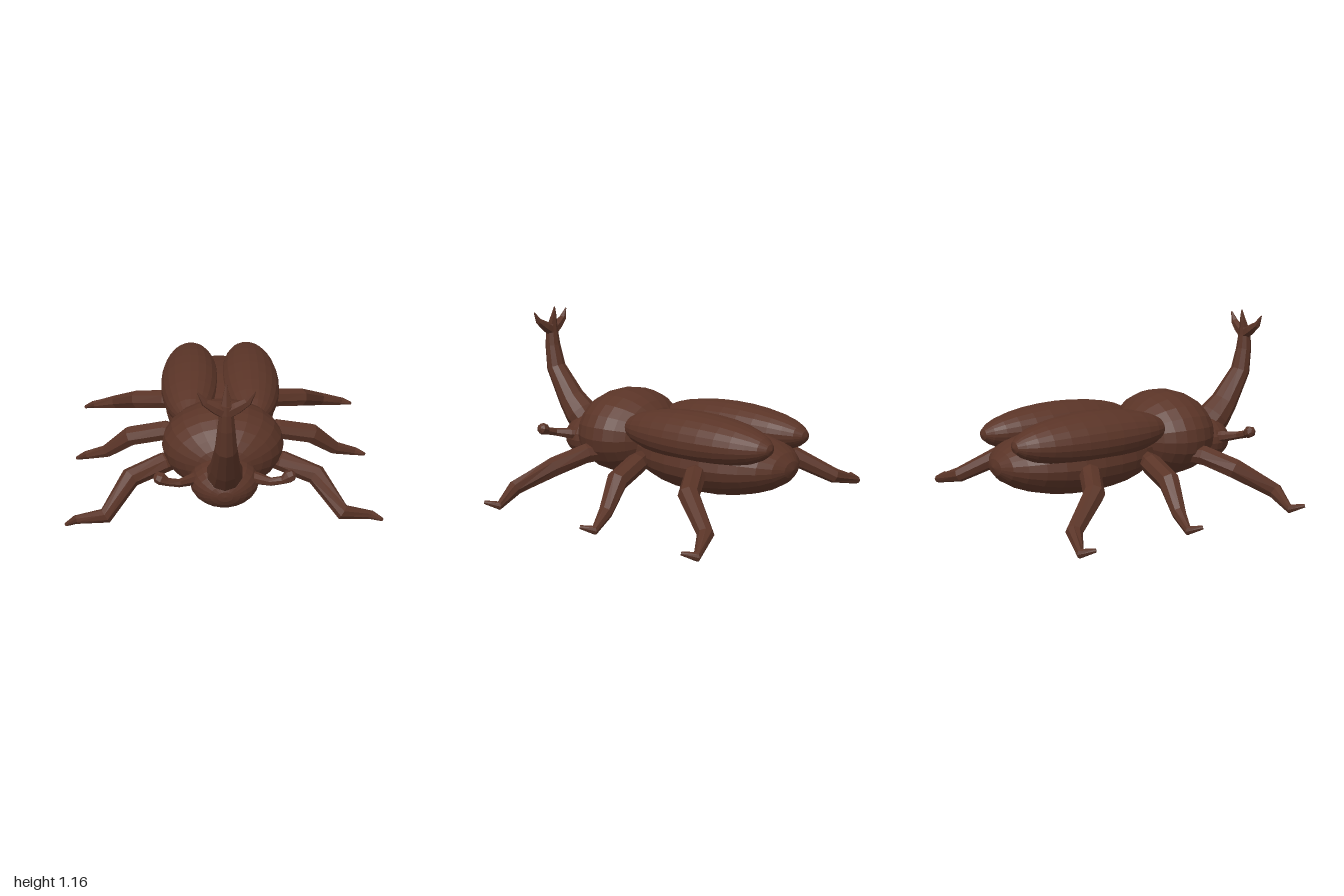
import * as THREE from 'three';

const shell = new THREE.MeshStandardMaterial({ color: 0x5a3427, flatShading: true });

function add(parent, name, geometry) {
  const mesh = new THREE.Mesh(geometry, shell);
  mesh.name = name;
  parent.add(mesh);
  return mesh;
}

// Faceted ellipsoid with its poles along z
function blob(parent, name, center, radii) {
  const geometry = new THREE.SphereGeometry(1, 22, 14).rotateX(Math.PI / 2).scale(...radii);
  const mesh = add(parent, name, geometry);
  mesh.position.set(...center);
  return mesh;
}

// Tapered, closed limb through sections [x, y, z, radius]; ref must not run along the limb
function limb(sections, ref = [0, 1, 0], sides = 8) {
  const pts = sections.map((s) => new THREE.Vector3(s[0], s[1], s[2]));
  const up = new THREE.Vector3(...ref);
  const pos = [];
  const index = [];
  pts.forEach((p, i) => {
    const before = pts[Math.max(i - 1, 0)];
    const after = pts[Math.min(i + 1, pts.length - 1)];
    const dirIn = p.clone().sub(before).normalize();
    const dirOut = after.clone().sub(p).normalize();
    const t = dirIn.add(dirOut).normalize();
    const u = new THREE.Vector3().crossVectors(up, t).normalize();
    const v = new THREE.Vector3().crossVectors(t, u);
    for (let k = 0; k < sides; k++) {
      const a = (k / sides) * Math.PI * 2;
      const q = p.clone().addScaledVector(u, Math.cos(a) * sections[i][3]);
      q.addScaledVector(v, Math.sin(a) * sections[i][3]);
      pos.push(q.x, q.y, q.z);
    }
  });
  for (let i = 0; i < pts.length - 1; i++) {
    for (let k = 0; k < sides; k++) {
      const a = i * sides + k;
      const b = i * sides + ((k + 1) % sides);
      index.push(a, b, a + sides, b, b + sides, a + sides);
    }
  }
  // End caps
  const first = pos.length / 3;
  const last = (pts.length - 1) * sides;
  pos.push(...pts[0].toArray(), ...pts[pts.length - 1].toArray());
  for (let k = 0; k < sides; k++) {
    const n = (k + 1) % sides;
    index.push(first, n, k, first + 1, last + k, last + n);
  }
  const geometry = new THREE.BufferGeometry();
  geometry.setAttribute('position', new THREE.Float32BufferAttribute(pos, 3));
  geometry.setIndex(index);
  geometry.computeVertexNormals();
  return geometry;
}

const mirrored = (sections, side) => sections.map(([x, y, z, r]) => [x * side, y, z, r]);

// Hip, knee, shin, ankle, toe: [x, y, z, radius]
const legs = {
  front: [
    [0.28, 0.30, 0.27, 0.055], [0.38, 0.30, 0.33, 0.066], [0.59, 0.245, 0.415, 0.065],
    [0.74, 0.1, 0.625, 0.05], [0.935, 0.04, 0.575, 0.028], [0.985, 0.06, 0.655, 0.012],
  ],
  middle: [
    [0.28, 0.30, -0.05, 0.06], [0.38, 0.30, -0.085, 0.068], [0.61, 0.245, -0.115, 0.068],
    [0.78, 0.1, -0.165, 0.045], [0.935, 0.04, -0.21, 0.028], [0.985, 0.06, -0.14, 0.012],
  ],
  rear: [
    [0.28, 0.30, -0.49, 0.06], [0.38, 0.30, -0.535, 0.068], [0.58, 0.245, -0.635, 0.066],
    [0.75, 0.1, -0.875, 0.05], [0.935, 0.04, -0.945, 0.028], [0.985, 0.06, -0.875, 0.012],
  ],
};

const antenna = [
  [0.12, 0.34, 0.56, 0.04], [0.2, 0.355, 0.62, 0.038], [0.28, 0.37, 0.685, 0.026],
  [0.35, 0.39, 0.7, 0.026], [0.385, 0.41, 0.695, 0.04], [0.415, 0.42, 0.69, 0.034], [0.43, 0.425, 0.69, 0.012],
];

const horn = [
  [0, 0.37, 0.62, 0.1], [0, 0.45, 0.7, 0.112], [0, 0.54, 0.785, 0.092], [0, 0.75, 0.925, 0.066],
  [0, 0.9, 0.952, 0.052], [0, 1.0, 0.957, 0.042], [0, 1.05, 0.955, 0.036],
];

export function createModel() {
  const model = new THREE.Group();
  model.name = 'hornedBeetle';

  // Body
  blob(model, 'abdomen', [0, 0.33, -0.42], [0.38, 0.225, 0.58]);
  blob(model, 'thorax', [0, 0.4, 0.265], [0.39, 0.28, 0.315]);
  blob(model, 'head', [0, 0.315, 0.57], [0.215, 0.155, 0.2]);

  // Horn with three prongs
  const hornGroup = new THREE.Group();
  hornGroup.name = 'horn';
  model.add(hornGroup);
  add(hornGroup, 'hornStem', limb(horn, [1, 0, 0], 10));
  add(hornGroup, 'middleProng', limb([[0, 1.03, 0.955, 0.036], [0, 1.1, 0.94, 0.022], [0, 1.17, 0.93, 0.004]], [1, 0, 0], 6));

  for (const [side, label] of [[1, 'left'], [-1, 'right']]) {
    const prong = [[0, 1.0, 0.955, 0.04], [0.06, 1.035, 0.96, 0.036], [0.12, 1.075, 0.965, 0.024], [0.16, 1.14, 0.97, 0.004]];
    add(hornGroup, label + 'Prong', limb(mirrored(prong, side), [0, 0, 1], 6));

    // Wing case, leaning slightly outward
    const wing = blob(model, label + 'WingCase', [side * 0.207, 0.49, -0.42], [0.2, 0.155, 0.55]);
    wing.rotation.z = side * -0.15;

    add(model, label + 'Antenna', limb(mirrored(antenna, side), [0, 1, 0], 7));
    for (const [name, sections] of Object.entries(legs)) {
      add(model, `${label}${name[0].toUpperCase()}${name.slice(1)}Leg`, limb(mirrored(sections, side)));
    }
  }
  return model;
}
